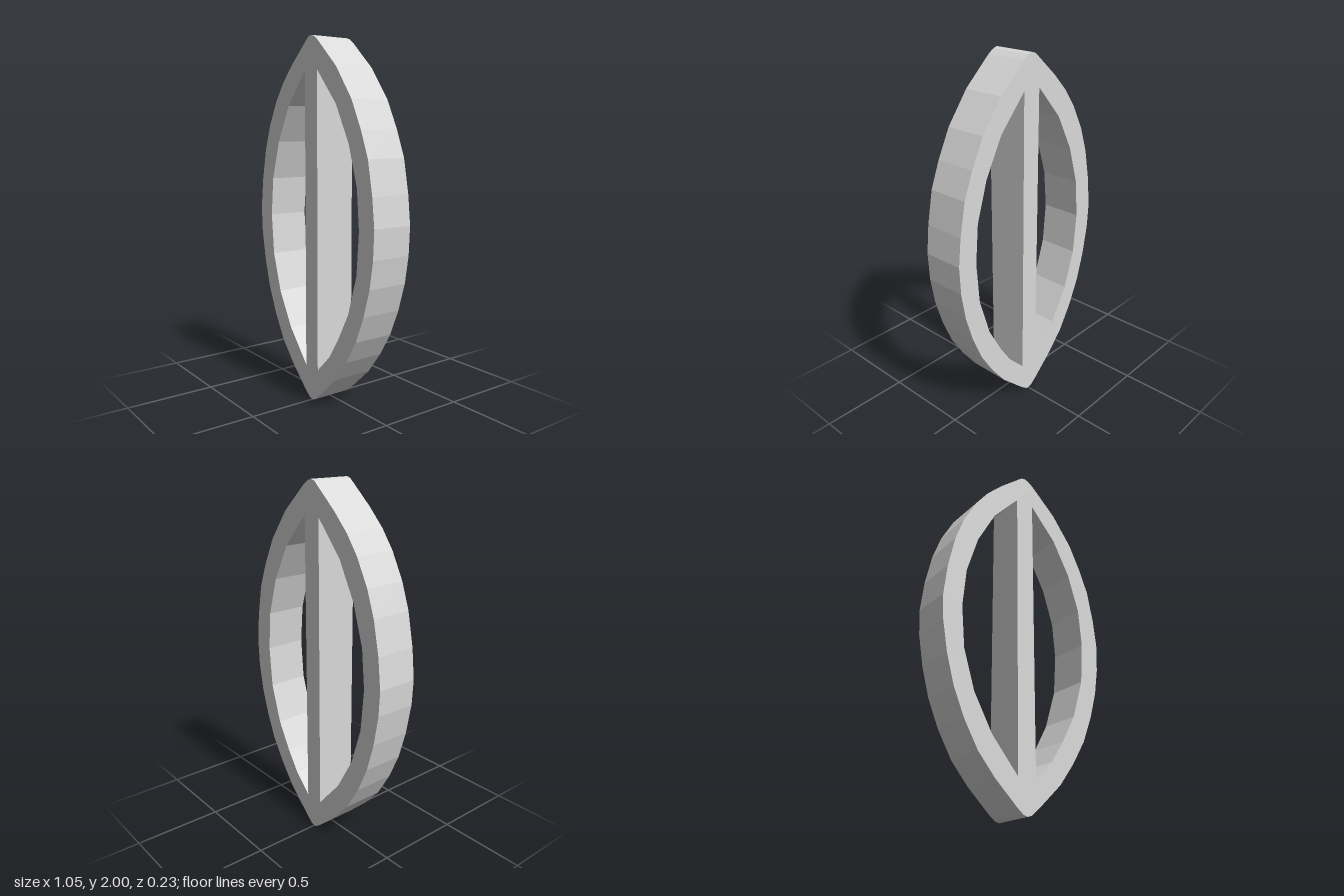
import * as THREE from 'three';

const DEPTH = 0.234;

// Corner points [x, y], running clockwise from the top tip
const outline = [
  [0, 2], [0.025, 1.993], [0.06, 1.97], [0.22, 1.825], [0.345, 1.66], [0.42, 1.51],
  [0.475, 1.37], [0.51, 1.19], [0.527, 1.035], [0.52, 0.88], [0.495, 0.73],
  [0.45, 0.58], [0.39, 0.435], [0.31, 0.305], [0.215, 0.18], [0.07, 0.045], [0.025, 0.008],
  [0, 0], [-0.025, 0.008], [-0.06, 0.035], [-0.195, 0.16], [-0.295, 0.275], [-0.38, 0.42],
  [-0.445, 0.57], [-0.49, 0.73], [-0.52, 0.9], [-0.527, 1.04], [-0.508, 1.21],
  [-0.47, 1.39], [-0.42, 1.53], [-0.345, 1.67], [-0.27, 1.77], [-0.175, 1.865],
  [-0.025, 1.993],
];

// The two openings either side of the centre bar
const rightOpening = [
  [0.055, 1.82], [0.218, 1.64], [0.325, 1.44], [0.392, 1.225], [0.41, 1.01],
  [0.392, 0.78], [0.325, 0.565], [0.24, 0.41], [0.16, 0.29], [0.055, 0.187],
];
const leftOpening = [
  [-0.057, 1.82], [-0.218, 1.64], [-0.325, 1.44], [-0.392, 1.225], [-0.412, 1.01],
  [-0.392, 0.78], [-0.325, 0.565], [-0.215, 0.37], [-0.057, 0.187],
];

const toPoints = (list) => list.map(([x, y]) => new THREE.Vector2(x, y));

export function createModel() {
  const grey = new THREE.MeshStandardMaterial({ color: 0xd9d9d9 });
  grey.name = 'lightGrey';
  grey.flatShading = true;

  // Pointed oval frame and centre bar, cut from one thick plate;
  // an anticlockwise outline lets the extrusion face both openings correctly
  const shape = new THREE.Shape(toPoints(outline).reverse());
  shape.holes = [rightOpening, leftOpening].map((o) => new THREE.Path(toPoints(o)));
  const geometry = new THREE.ExtrudeGeometry(shape, { depth: DEPTH, bevelEnabled: false });
  geometry.translate(0, 0, -DEPTH / 2);

  const frame = new THREE.Mesh(geometry, grey);
  frame.name = 'ovalFrameWithBar';

  const model = new THREE.Group();
  model.name = 'barredOval';
  model.add(frame);
  return model;
}
